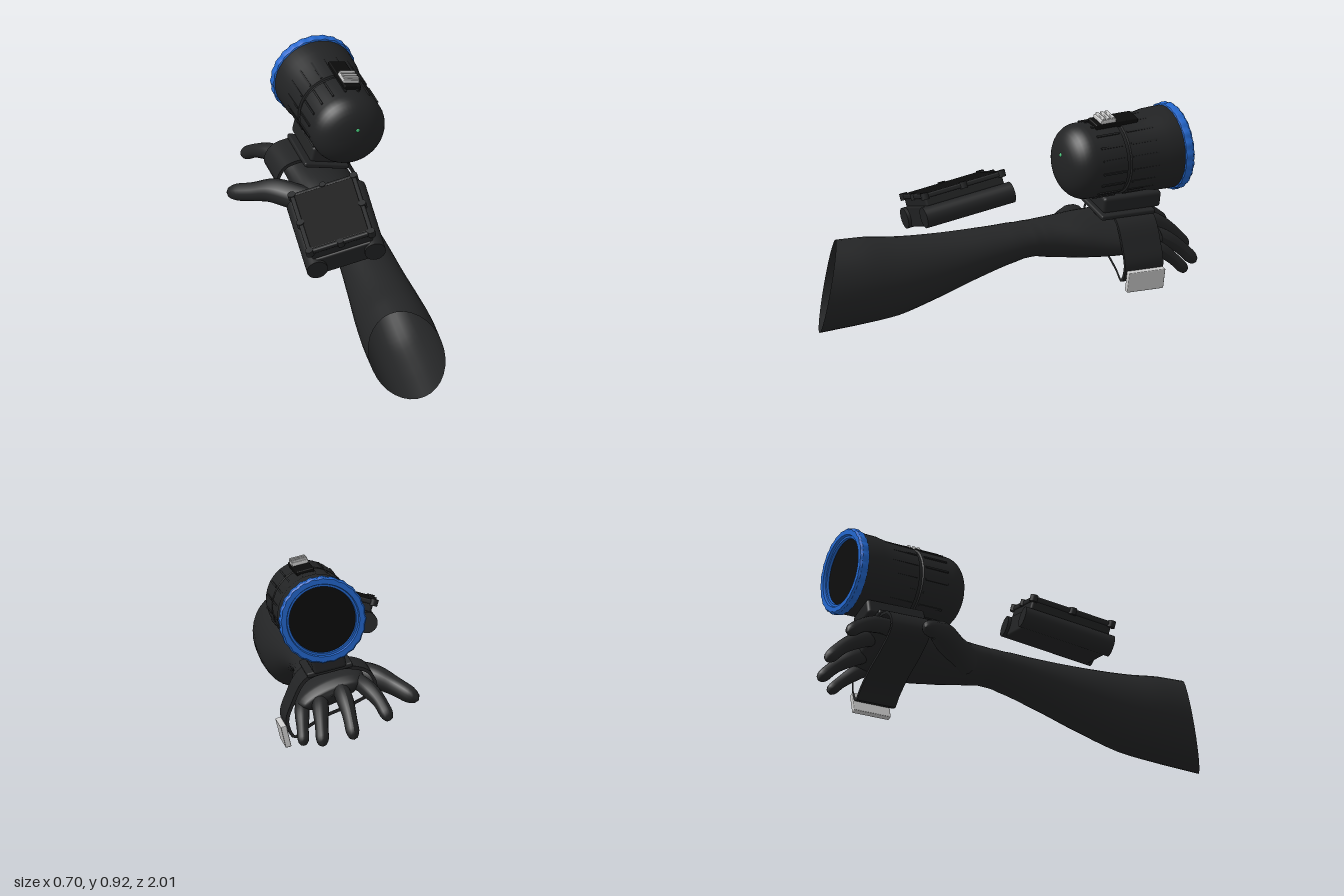
import * as THREE from 'three';
import { toCreasedNormals } from 'three/addons/utils/BufferGeometryUtils.js';
import { RoundedBoxGeometry } from 'three/addons/geometries/RoundedBoxGeometry.js';

const mat = (color, side = THREE.FrontSide) => new THREE.MeshStandardMaterial({ color, side });
const V = (x, y, z) => new THREE.Vector3(x, y, z);

export function createModel() {
  const model = new THREE.Group();
  const skin = mat(0x242526, THREE.DoubleSide), dark = mat(0x222324), black = mat(0x0b0b0b);
  const blue = mat(0x2266cc, THREE.DoubleSide), grey = mat(0xcccccc), green = mat(0x44c97a);

  const add = (parent, name, geo, material, pos = [0, 0, 0], rot = [0, 0, 0]) => {
    const m = new THREE.Mesh(geo, material);
    m.name = name;
    m.position.set(...pos);
    m.rotation.set(...rot);
    parent.add(m);
    return m;
  };
  const group = (name, pos, rot) => {
    const g = new THREE.Group();
    g.name = name;
    g.position.set(...pos);
    g.rotation.set(...rot);
    model.add(g);
    return g;
  };
  const box = (w, h, d, r = 0.008) => new RoundedBoxGeometry(w, h, d, 2, r);

  // Forearm and palm: cross-sections [z, centre x, centre y, half width, half height, roll, slant]
  const sections = [
    [0.92, 0.045, 0.215, 0.165, 0.215, 0, 1],
    [0.76, 0.055, 0.222, 0.168, 0.207, 0, 0.6],
    [0.57, 0.065, 0.226, 0.16, 0.187, 0, 0.2],
    [0.36, 0.072, 0.255, 0.142, 0.15, 0, 0],
    [0.14, 0.078, 0.292, 0.125, 0.113, 0, 0],
    [-0.1, 0.076, 0.323, 0.113, 0.084, -0.05, 0],
    [-0.22, 0.073, 0.318, 0.117, 0.092, -0.12, 0],
    [-0.38, 0.075, 0.312, 0.145, 0.1, -0.25, 0],
    [-0.52, 0.08, 0.31, 0.168, 0.086, -0.35, 0],
    [-0.64, 0.08, 0.318, 0.177, 0.072, -0.4, 0],
    [-0.72, 0.082, 0.32, 0.165, 0.056, -0.4, 0],
    [-0.765, 0.083, 0.317, 0.13, 0.028, -0.4, 0],
    [-0.772, 0.083, 0.316, 0.003, 0.003, -0.4, 0],
  ];
  const rings = 72, sides = 32, pos = [], index = [];
  const spline = (ids) => new THREE.CatmullRomCurve3(sections.map((s) => V(...ids.map((i) => s[i]))));
  const centre = spline([1, 2, 0]), shape = spline([3, 4, 5]);
  const slantOf = (t) => {
    const f = t * (sections.length - 1), i = Math.min(Math.floor(f), sections.length - 2);
    return THREE.MathUtils.lerp(sections[i][6], sections[i + 1][6], f - i);
  };
  for (let i = 0; i <= rings; i++) {
    const t = i / rings, c = centre.getPoint(t), s = shape.getPoint(t), slant = slantOf(t);
    // small sleeve wrinkles at the wrist
    const wrinkle = 1 + 0.016 * Math.sin(i * 2.1) * Math.exp(-(((c.z + 0.08) / 0.09) ** 2));
    for (let j = 0; j < sides; j++) {
      const a = (j / sides) * Math.PI * 2, ca = Math.cos(a), sa = Math.sin(a);
      const x = ca * s.x * wrinkle, y = sa * s.y * wrinkle;
      pos.push(c.x + x * Math.cos(s.z) - y * Math.sin(s.z), c.y + x * Math.sin(s.z) + y * Math.cos(s.z),
        c.z + slant * (0.075 * ca - 0.045 * sa));
      if (i < rings) {
        const k = (j + 1) % sides, p = i * sides, q = p + sides;
        index.push(p + j, q + j, p + k, p + k, q + j, q + k);
      }
    }
  }
  const arm = new THREE.BufferGeometry();
  arm.setAttribute('position', new THREE.Float32BufferAttribute(pos, 3));
  arm.setIndex(index);
  arm.computeVertexNormals();
  add(model, 'forearmAndPalm', arm, skin);

  // Fingers: tubes that taper and round off at the tip
  const finger = (name, points, r0, r1) => {
    const n = 28, m = 14, curve = new THREE.CatmullRomCurve3(points.map((p) => V(...p)));
    const geo = new THREE.TubeGeometry(curve, n, 1, m), p = geo.attributes.position, v = V(0, 0, 0);
    for (let i = 0; i <= n; i++) {
      const t = i / n, c = curve.getPointAt(t), e = Math.max(0, (t - 0.86) / 0.14);
      const r = (r0 + (r1 - r0) * t) * Math.sqrt(Math.max(0.0005, 1 - e * e)) * (1 + 0.05 * Math.cos(t * 13));
      for (let j = 0; j <= m; j++) {
        const k = i * (m + 1) + j;
        v.fromBufferAttribute(p, k).sub(c).multiplyScalar(r).add(c);
        p.setXYZ(k, v.x, v.y, v.z);
      }
    }
    geo.computeVertexNormals();
    add(model, name, geo, skin);
  };
  finger('indexFinger', [[-0.03, 0.36, -0.62], [-0.07, 0.355, -0.74], [-0.125, 0.31, -0.86], [-0.165, 0.235, -0.965]], 0.046, 0.03);
  finger('middleFinger', [[0.05, 0.335, -0.62], [0.035, 0.33, -0.75], [0.02, 0.265, -0.88], [0.008, 0.155, -0.995]], 0.046, 0.03);
  finger('ringFinger', [[0.13, 0.3, -0.62], [0.135, 0.285, -0.74], [0.145, 0.22, -0.86], [0.152, 0.12, -0.965]], 0.044, 0.029);
  finger('littleFinger', [[0.2, 0.27, -0.6], [0.215, 0.245, -0.71], [0.225, 0.18, -0.8], [0.23, 0.105, -0.875]], 0.039, 0.026);
  finger('thumb', [[0.03, 0.31, -0.27], [-0.07, 0.325, -0.38], [-0.17, 0.325, -0.48], [-0.25, 0.295, -0.545], [-0.345, 0.25, -0.645]], 0.078, 0.035);

  // Strap around the hand: a closed band cut from its outer and inner outline
  const loop = new THREE.CatmullRomCurve3([[0, 0.437], [0.1, 0.422], [0.2, 0.38], [0.26, 0.27], [0.285, 0.18], [0.25, 0.11],
    [0.2, 0.15], [0.1, 0.21], [-0.03, 0.265], [-0.13, 0.335], [-0.1, 0.41]].map(([x, y]) => V(x, y, 0)), true);
  const outline = (d) => Array.from({ length: 64 }, (_, i) => {
    const p = loop.getPointAt(i / 64), t = loop.getTangentAt(i / 64);
    return new THREE.Vector2(p.x - t.y * d, p.y + t.x * d);
  });
  const band = new THREE.Shape(outline(0.008));
  band.holes.push(new THREE.Path(outline(-0.008)));
  const bandGeo = new THREE.ExtrudeGeometry(band, { depth: 0.2, bevelEnabled: false });
  add(model, 'handStrap', toCreasedNormals(bandGeo, 0.7), dark, [0, 0, -0.72]);
  add(model, 'strapBuckle', box(0.028, 0.102, 0.19, 0.004), grey, [0.291, 0.112, -0.625], [0, 0, -0.24]);

  // Mount between strap and lamp
  add(model, 'mountPlate', box(0.22, 0.024, 0.28), dark, [0.085, 0.428, -0.59], [0, 0, -0.23]);
  add(model, 'mountBlock', box(0.16, 0.08, 0.3, 0.015), dark, [0.096, 0.473, -0.62], [0, 0, -0.23]);

  // Lamp: local -z runs from the domed rear to the lens
  const lamp = group('lamp', [0.16, 0.687, -0.24], [0.02, 0.04, 0]);
  const lathe = (profile, n) => new THREE.LatheGeometry(profile.map((p) => new THREE.Vector2(...p)), n).rotateX(-Math.PI / 2);
  const dome = Array.from({ length: 10 }, (_, i) => {
    const a = (i / 9) * Math.PI / 2;
    return [0.18 * Math.sin(a) ** 0.8, 0.115 * (1 - Math.cos(a))];
  });
  add(lamp, 'lampBody', toCreasedNormals(lathe([...dome, [0.181, 0.27], [0.173, 0.274], [0.173, 0.288], [0.182, 0.292],
    [0.186, 0.44], [0.194, 0.485], [0.196, 0.57], [0.15, 0.585]], 48), 0.6), dark);
  for (let i = 0; i < 18; i++) {
    const a = (i / 18) * Math.PI * 2;
    for (const [s, len] of [[0.2, 0.12], [0.37, 0.14]]) {
      add(lamp, 'gripRib', new THREE.BoxGeometry(0.009, 0.012, len), dark,
        [-Math.sin(a) * 0.18, Math.cos(a) * 0.18, -s], [0, 0, a]);
    }
  }
  // Scalloped blue bezel with recessed lens
  const bezel = lathe([[0.185, 0.565], [0.202, 0.572], [0.205, 0.582], [0.205, 0.606], [0.198, 0.616], [0.174, 0.616],
    [0.17, 0.604], [0.16, 0.604], [0.157, 0.585]], 120);
  const bp = bezel.attributes.position;
  for (let i = 0; i < bp.count; i++) {
    const x = bp.getX(i), y = bp.getY(i);
    if (Math.hypot(x, y) < 0.19) continue;
    const k = 1 + 0.012 * Math.cos(24 * Math.atan2(y, x));
    bp.setXY(i, x * k, y * k);
  }
  add(lamp, 'lensBezel', toCreasedNormals(bezel, 0.6), blue);
  add(lamp, 'lens', new THREE.CircleGeometry(0.165, 48), black, [0, 0, -0.592], [0, Math.PI, 0]);
  add(lamp, 'indicatorLight', new THREE.SphereGeometry(0.013, 16, 10), green, [0.011, 0.047, -0.012]);
  // Slide switch on top
  const tilt = -0.22, at = (r, z) => [-Math.sin(tilt) * r, Math.cos(tilt) * r, z];
  add(lamp, 'switchPlate', box(0.085, 0.03, 0.225, 0.005), black, at(0.184, -0.27), [0, 0, tilt]);
  add(lamp, 'switchBase', box(0.08, 0.02, 0.08, 0.004), grey, at(0.205, -0.225), [0, 0, tilt]);
  for (let i = 0; i < 3; i++) {
    add(lamp, 'switchRidge', box(0.076, 0.014, 0.016, 0.003), grey, at(0.217, -0.2 - i * 0.025), [0, 0, tilt]);
  }

  // Forearm display: slab on two side barrels with a framed screen
  const display = group('forearmDisplay', [-0.066, 0.487, 0.175], [0.18, -0.09, 0.28]);
  for (const x of [-1, 1]) {
    add(display, 'sideBarrel', new THREE.CylinderGeometry(0.05, 0.05, 0.45, 28).rotateX(Math.PI / 2), dark, [x * 0.142, 0, 0]);
    add(display, 'sideRail', box(0.024, 0.024, 0.4), dark, [x * 0.15, 0.098, 0]);
    add(display, 'endRail', box(0.3, 0.024, 0.022), dark, [0, 0.098, x * 0.195]);
    for (const z of [-1, 0, 1]) {
      add(display, 'frameKnob', new THREE.CylinderGeometry(0.019, 0.019, 0.032, 14), dark, [x * 0.152, 0.098, z * 0.197]);
    }
    add(display, 'endKnob', new THREE.CylinderGeometry(0.016, 0.016, 0.03, 14), dark, [0, 0.098, x * 0.2]);
  }
  add(display, 'displayBase', box(0.28, 0.1, 0.42, 0.01), dark, [0, 0.002, 0]);
  add(display, 'displayHousing', box(0.3, 0.05, 0.4, 0.012), dark, [0, 0.068, 0]);
  add(display, 'screen', box(0.285, 0.02, 0.375, 0.004), black, [0, 0.1, 0]);

  return model;
}
